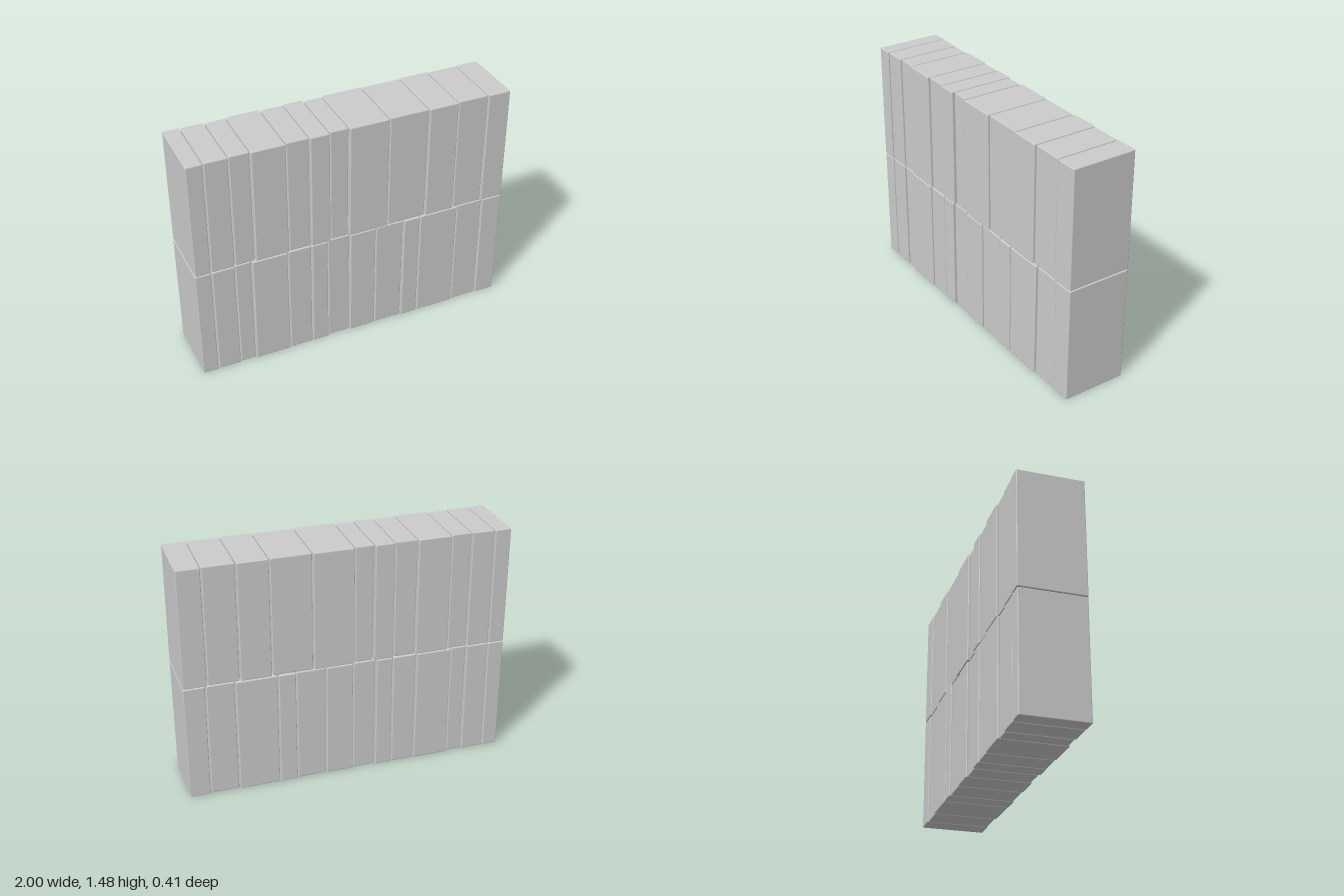
import * as THREE from 'three';
import { RoundedBoxGeometry } from 'three/addons/geometries/RoundedBoxGeometry.js';

const GAP = 0.006;
const BEVEL = 0.005;

// Each course: vertical extent, joint positions along x, and half depth per block
const courses = [
  {
    name: 'lowerCourse', y0: 0, y1: 0.733,
    joints: [-1, -0.9, -0.757, -0.655, -0.43, -0.28, -0.173, -0.03, 0.142, 0.325, 0.437, 0.692, 0.868, 1],
    depths: [0.202, 0.2, 0.193, 0.204, 0.199, 0.201, 0.19, 0.2, 0.196, 0.204, 0.203, 0.195, 0.201],
  },
  {
    name: 'upperCourse', y0: 0.738, y1: 1.477,
    joints: [-1, -0.9, -0.755, -0.63, -0.42, -0.28, -0.155, -0.037, 0.217, 0.468, 0.66, 0.855, 1],
    depths: [0.204, 0.2, 0.194, 0.204, 0.195, 0.203, 0.19, 0.202, 0.196, 0.203, 0.196, 0.202],
  },
];

// Bevelled block whose sides lean very slightly, as if cut by hand
function makeBlock(width, height, depth, lean) {
  const geometry = new RoundedBoxGeometry(width, height, depth, 1, BEVEL);
  const p = geometry.attributes.position;
  for (let i = 0; i < p.count; i++) {
    const up = p.getY(i) / height;
    const inset = 1 - (0.5 + up * lean) * (0.003 / width);
    p.setX(i, p.getX(i) * inset);
  }
  geometry.computeVertexNormals();
  return geometry;
}

export function createModel() {
  const model = new THREE.Group();
  model.name = 'blockWall';
  const material = new THREE.MeshStandardMaterial({ color: 0xcccccc, flatShading: true });

  for (const { name, y0, y1, joints, depths } of courses) {
    const course = new THREE.Group();
    course.name = name;
    depths.forEach((half, i) => {
      // Outer ends stay flush; inner joints give up half the gap
      const left = joints[i] + (i > 0 ? GAP / 2 : 0);
      const right = joints[i + 1] - (i < depths.length - 1 ? GAP / 2 : 0);
      const lean = i % 2 ? 1 : -1;
      const block = new THREE.Mesh(makeBlock(right - left, y1 - y0, half * 2, lean), material);
      block.name = `${name}Block${i + 1}`;
      block.position.set((left + right) / 2, (y0 + y1) / 2, 0);
      course.add(block);
    });
    model.add(course);
  }
  return model;
}
